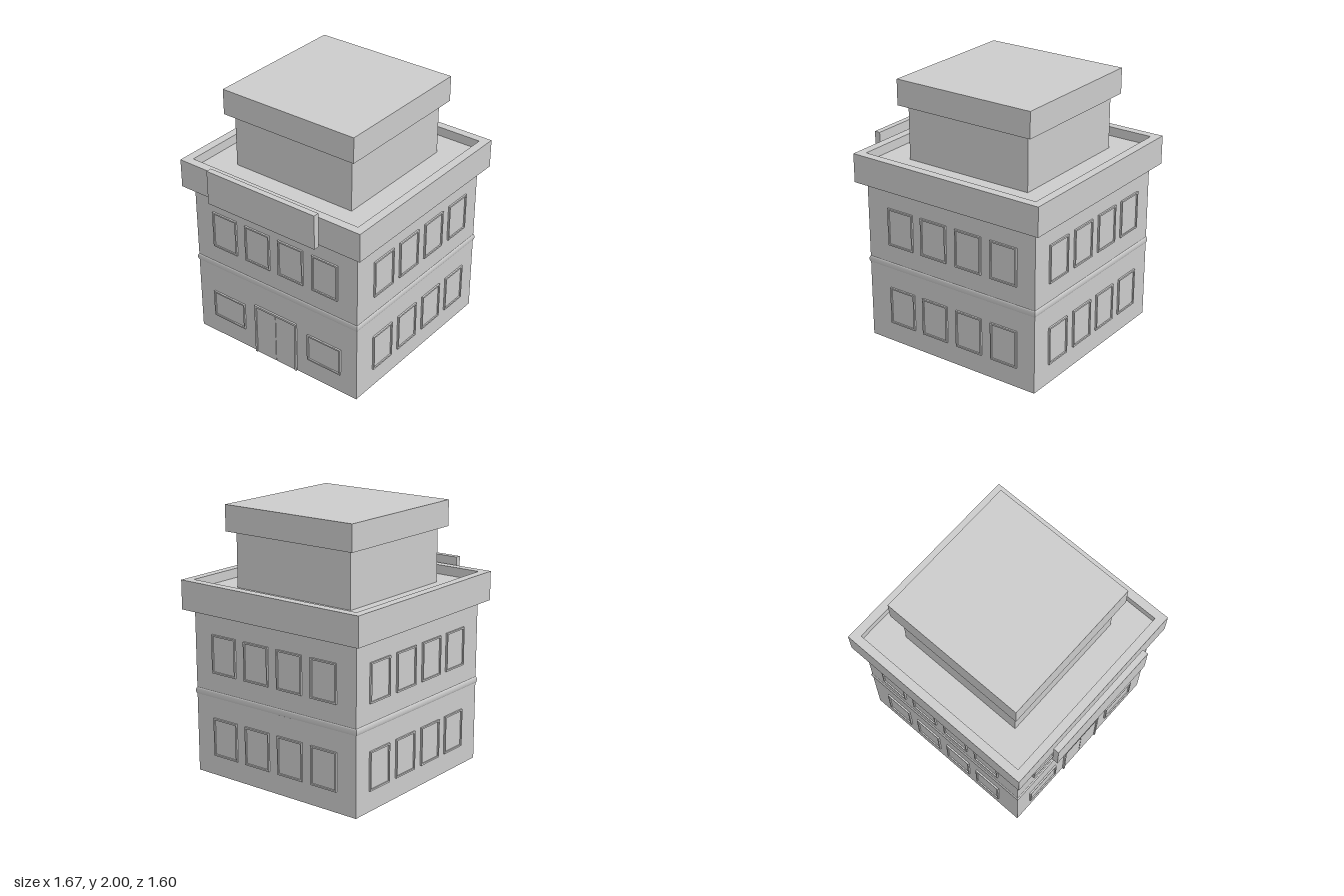
import * as THREE from 'three';

const grey = new THREE.MeshStandardMaterial({ color: 0xcccccc, flatShading: true });
const HALF = 0.735; // half width of the main block

function add(parent, name, geometry, x = 0, y = 0, z = 0) {
  const mesh = new THREE.Mesh(geometry, grey);
  mesh.name = name;
  mesh.position.set(x, y, z);
  parent.add(mesh);
  return mesh;
}

// Box standing between two heights
function block(parent, name, w, y0, y1, d = w, x = 0, z = 0) {
  return add(parent, name, new THREE.BoxGeometry(w, y1 - y0, d), x, (y0 + y1) / 2, z);
}

// Rectangular ring in the xy plane, extruded towards +z
function ring(w, h, t, depth) {
  const rect = (Type, a, b) => new Type([
    new THREE.Vector2(-a, -b), new THREE.Vector2(a, -b),
    new THREE.Vector2(a, b), new THREE.Vector2(-a, b)]);
  const shape = rect(THREE.Shape, w / 2, h / 2);
  shape.holes.push(rect(THREE.Path, w / 2 - t, h / 2 - t));
  return new THREE.ExtrudeGeometry(shape, { depth, bevelEnabled: false });
}

// Framed window on a wall whose outside is local +z
function addWindow(wall, u, y0, y1, w = 0.225) {
  const win = new THREE.Group();
  win.name = 'window';
  win.position.set(u, (y0 + y1) / 2, 0);
  add(win, 'windowFrame', ring(w, y1 - y0, 0.012, 0.013));
  add(win, 'windowPane', new THREE.BoxGeometry(w - 0.024, y1 - y0 - 0.024, 0.006));
  wall.add(win);
}

function addDoor(wall) {
  const door = new THREE.Group();
  door.name = 'entrance';
  for (const s of [-1, 1]) {
    block(door, 'doorPost', 0.016, 0, 0.42, 0.028, s * 0.187, 0);
    block(door, 'doorLeaf', 0.177, 0, 0.404, 0.012, s * 0.0905, 0);
  }
  block(door, 'doorLintel', 0.39, 0.404, 0.42, 0.028);
  wall.add(door);
}

export function createModel() {
  const model = new THREE.Group();
  model.name = 'building';
  const house = new THREE.Group();
  house.name = 'house';
  house.position.x = 0.035;
  model.add(house);

  // Main block, parapet around the sunken roof, and upper storey
  block(house, 'mainBlock', HALF * 2, 0, 1.39);
  const parapet = add(house, 'parapet', ring(1.6, 1.6, 0.065, 0.22), 0, 1.24, 0);
  parapet.rotation.x = -Math.PI / 2;
  block(house, 'penthouse', 1.03, 1.39, 1.81);
  block(house, 'penthouseRoof', 1.14, 1.805, 2);

  // Rounded string course between the floors: a four-sided lathe
  const profile = [];
  for (let i = 0; i <= 8; i++) {
    const a = -Math.PI / 2 + (i / 8) * Math.PI;
    profile.push(new THREE.Vector2(
      (HALF - 0.002 + 0.01 * Math.cos(a)) * Math.SQRT2, 0.625 + 0.025 * Math.sin(a)));
  }
  const band = new THREE.LatheGeometry(profile, 4, Math.PI / 4);
  add(house, 'stringCourse', band);

  // Walls: front, +x side, back, -x side
  const longRow = [-0.435, -0.135, 0.17, 0.475];
  const sideRow = [-0.457, -0.152, 0.152, 0.457];
  const rows = [longRow, sideRow, longRow.map((u) => -u), sideRow];
  const names = ['frontWall', 'leftWall', 'backWall', 'entranceWall'];
  rows.forEach((row, i) => {
    const wall = new THREE.Group();
    wall.name = names[i];
    const a = (i * Math.PI) / 2;
    wall.rotation.y = a;
    wall.position.set(Math.sin(a) * HALF, 0, Math.cos(a) * HALF);
    for (const u of row) {
      addWindow(wall, u, 0.79, 1.08);
      if (i < 3) addWindow(wall, u, 0.155, 0.445);
    }
    if (i === 3) {
      for (const s of [-1, 1]) addWindow(wall, s * 0.445, 0.155, 0.375, 0.3);
      addDoor(wall);
    }
    house.add(wall);
  });

  // Plain sign board in front of the parapet on the entrance side
  block(model, 'signBoard', 0.045, 1.25, 1.515, 0.955, -0.8175, 0);
  return model;
}
